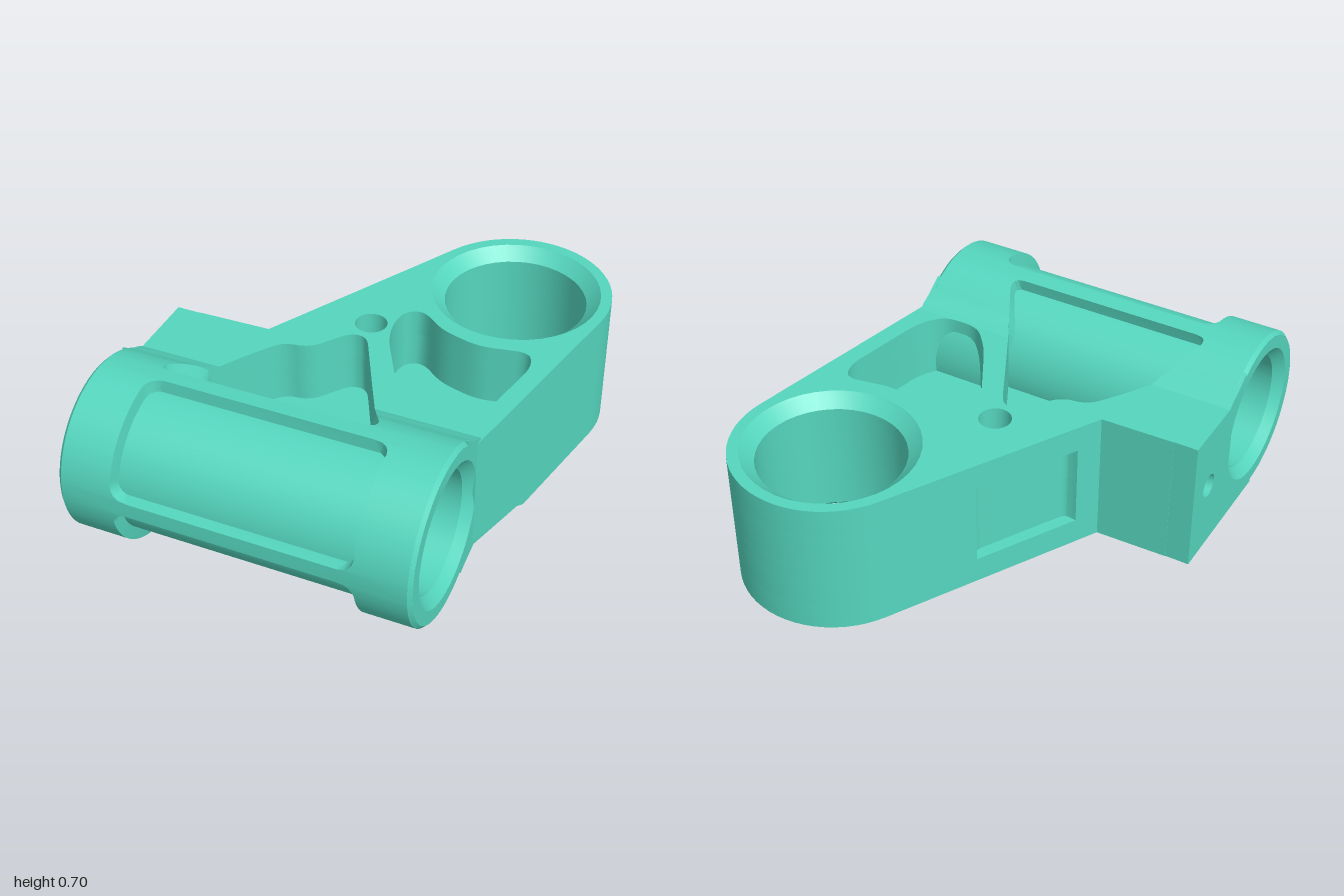
import * as THREE from 'three';
import { toCreasedNormals } from 'three/addons/utils/BufferGeometryUtils.js';

const V = (x, y) => new THREE.Vector2(x, y);
const material = new THREE.MeshStandardMaterial({ color: 0x55d6be, side: THREE.DoubleSide });
const RING = { x: 0.405, z: -0.61, r: 0.39 };
const TUBE = { y: 0.35, z: 0.65, r: 0.35, floor: 0.3, x0: -0.8, x1: 0.61 };
const END = 0.38; // the arm ends here, inside the tube wall
const TOP = 0.57;

// slanted edges of the triangular pocket
const pocketLeft = z => -0.34 - 0.59 * (z - 0.13);
const pocketRight = z => -0.01 + 0.52 * (z + 0.04);
// underside of the arm rises towards the tube, except at the end block
const underside = (x, z) => 0.075 * THREE.MathUtils.smoothstep(x, -0.35, 0) *
  Math.sin(Math.PI / 2 * THREE.MathUtils.clamp(z / 0.22, 0, 1));

function mesh(name, geometry, crease = 0.6) {
  const m = new THREE.Mesh(toCreasedNormals(geometry, crease), material);
  m.name = name;
  return m;
}

// points of a polygon with rounded corners
function rounded(points, radius, closed = true) {
  const out = [];
  points.forEach((p, i) => {
    if (!closed && (i === 0 || i === points.length - 1)) return out.push(p);
    const n = points.length, a = points[(i + n - 1) % n], b = points[(i + 1) % n];
    const cut = q => p.clone().lerp(q, Math.min(0.45, radius / p.distanceTo(q)));
    const curve = new THREE.QuadraticBezierCurve(cut(a), p, cut(b));
    out.push(...curve.getPoints(5));
  });
  return out;
}

const circle = (x, z, r, n = 40) => Array.from({ length: n }, (_, i) =>
  V(x + r * Math.cos(i / n * 2 * Math.PI), z + r * Math.sin(i / n * 2 * Math.PI)));

// angle of the point where a line from p touches the ring
function tangentAngle(p, side) {
  const dx = p.x - RING.x, dz = p.y - RING.z;
  return Math.atan2(dz, dx) + side * Math.acos(RING.r / Math.hypot(dx, dz));
}

// outline of the arm in x and z
function armOutline(pocket, recess) {
  const left = V(-0.4, 0.04), right = V(TUBE.x1, END);
  const a0 = tangentAngle(left, 1);
  let a1 = tangentAngle(right, -1);
  while (a1 < a0) a1 += 2 * Math.PI;
  const onRing = a => V(RING.x + RING.r * Math.cos(a), RING.z + RING.r * Math.sin(a));
  const points = [V(-0.7, END), V(-0.7, 0.048), left];
  if (recess) {
    const dir = onRing(a0).sub(left), inward = V(-dir.y, dir.x).normalize().multiplyScalar(0.05);
    const at = (t, d) => left.clone().addScaledVector(dir, t).addScaledVector(inward, d);
    points.push(...rounded([at(0.11, 0), at(0.13, 1), at(0.56, 1), at(0.58, 0)], 0.03, false));
  }
  for (let i = 0; i <= 28; i++) points.push(onRing(a0 + (a1 - a0) * i / 28));
  const touch = onRing(a1);
  for (const z of [0, 0.05, 0.1, 0.16, 0.22]) {
    points.push(touch.clone().lerp(right, (z - touch.y) / (END - touch.y)));
  }
  points.push(right);
  if (pocket) {
    points.push(...rounded([V(pocketRight(END), END), V(pocketRight(0.2), 0.2), V(-0.02, -0.065), V(-0.09, -0.065),
      V(-0.2, 0.085), V(-0.31, 0.1), V(pocketLeft(0.24), 0.24), V(pocketLeft(END), END)], 0.05, false));
  }
  return points;
}

// pocket between the bolt hole, the ring and the right wall
const sidePocket = rounded([V(0.035, -0.2), V(0.05, -0.29), V(0.12, -0.32), V(0.23, -0.23), V(0.4, -0.185),
  V(0.6, -0.225), V(0.635, -0.14), V(0.56, 0.24), V(0.49, 0.34), V(0.33, 0.34), V(0.23, 0.22), V(0.06, -0.09)], 0.06);

const flip = points => points.map(p => V(p.x, -p.y));

// one horizontal slice of the arm
function armLayer(name, y0, y1, pocket, recess) {
  const shape = new THREE.Shape(flip(armOutline(pocket, recess)));
  const holes = [circle(RING.x, RING.z, 0.36), circle(-0.045, -0.16, 0.065, 24)];
  if (pocket) holes.push(sidePocket);
  holes.forEach(h => shape.holes.push(new THREE.Path(flip(h))));
  const g = new THREE.ExtrudeGeometry(shape, { depth: y1 - y0, bevelEnabled: false });
  g.rotateX(-Math.PI / 2).translate(0, y0, 0);
  const p = g.attributes.position;
  for (let i = 0; i < p.count; i++) if (p.getY(i) < 0.001) p.setY(i, underside(p.getX(i), p.getZ(i)));
  return mesh(name, g);
}

// a z-y profile drawn out along x; each end may follow a rule of z
function alongX(name, profile, from, to, hole) {
  const shape = new THREE.Shape(profile.map(([z, y]) => V(-z, y)));
  if (hole) shape.holes.push(new THREE.Path(circle(-hole[0], hole[1], hole[2], 20)));
  const g = new THREE.ExtrudeGeometry(shape, { depth: 1, bevelEnabled: false });
  g.rotateY(Math.PI / 2);
  const p = g.attributes.position;
  for (let i = 0; i < p.count; i++) p.setX(i, (p.getX(i) < 0.5 ? from : to)(p.getZ(i)));
  return mesh(name, g);
}

// outside of the tube: a grid whose radius drops in the panels between the ribs
function tubeOuter() {
  const rows = [], corner = 0.06;
  const panels = [[0.09, 1.57], [1.78, 2 * Math.PI - 1.78], [2 * Math.PI - 1.57, 2 * Math.PI - 0.09]];
  panels.forEach(([a, b], k) => {
    const angles = [a];
    for (const d of [0.015, 0.05, 0.1, 0.16]) angles.push(a + d);
    for (let i = 1; i < 24; i++) angles.push(a + 0.16 + (b - a - 0.32) * i / 24);
    for (const d of [0.16, 0.1, 0.05, 0.015]) angles.push(b - d);
    angles.push(b);
    angles.forEach((phi, i) => {
      const z = Math.max(END, TUBE.z + TUBE.r * Math.cos(phi));
      const e = Math.max(0, corner - TUBE.r * Math.min(phi - a, b - phi));
      const inset = corner - Math.sqrt(corner * corner - e * e);
      const l = (k === 1 ? pocketLeft(z) : -0.58) + inset;
      const r = (k === 1 ? pocketRight(z) : 0.39) - inset;
      const f = i === 0 || i === angles.length - 1 ? TUBE.r : TUBE.floor;
      const row = [[TUBE.x0, 0.335], [TUBE.x0 + 0.015, TUBE.r], [l, TUBE.r], [l + 0.008, f],
        [r - 0.008, f], [r, TUBE.r], [TUBE.x1 - 0.015, TUBE.r], [TUBE.x1, 0.335]];
      rows.push(row.map(([x, q]) => [x, TUBE.y + q * Math.sin(phi), TUBE.z + q * Math.cos(phi)]));
    });
  });
  const n = rows[0].length, index = [];
  for (let i = 0; i < rows.length; i++) for (let j = 0; j < n - 1; j++) {
    const a = i * n + j, b = ((i + 1) % rows.length) * n + j;
    index.push(a, a + 1, b, a + 1, b + 1, b);
  }
  const g = new THREE.BufferGeometry();
  g.setAttribute('position', new THREE.Float32BufferAttribute(rows.flat(2), 3));
  g.setIndex(index);
  // make the faces point away from the axis
  g.computeVertexNormals();
  if (g.attributes.normal.getZ(1) < 0) g.setIndex(index.reverse());
  return mesh('tubeOuter', g, 0.5);
}

export function createModel() {
  const group = new THREE.Group();
  group.name = 'bracket';

  // arm in slices: pockets above and below a web, shallow recess in the left wall
  group.add(
    armLayer('armBottom', 0, 0.11, true, false),
    armLayer('armLowerWall', 0.11, 0.25, true, true),
    armLayer('armWeb', 0.25, 0.31, false, true),
    armLayer('armUpperWall', 0.31, 0.46, true, true),
    armLayer('armTop', 0.46, TOP, true, false));

  // lining of the upright ring with chamfered mouths
  const ring = mesh('uprightRing', new THREE.LatheGeometry([
    V(0.29, 0.05), V(0.335, 0.01), V(0.345, 0), V(0.37, 0), V(0.37, TOP),
    V(0.345, TOP), V(0.335, TOP - 0.01), V(0.29, TOP - 0.05), V(0.29, 0.05)], 40));
  ring.position.set(RING.x, 0, RING.z);
  group.add(ring);

  // cross tube: ribbed outside, plain bore
  group.add(tubeOuter());
  const bore = new THREE.LatheGeometry([V(0.335, TUBE.x0), V(0.28, TUBE.x0), V(0.24, TUBE.x0 + 0.04),
    V(0.24, TUBE.x1 - 0.04), V(0.28, TUBE.x1), V(0.335, TUBE.x1)], 48);
  bore.rotateZ(-Math.PI / 2).translate(0, TUBE.y, TUBE.z);
  group.add(mesh('tubeBore', bore));

  // end block with a small cross hole
  const at = x => () => x;
  group.add(alongX('endBlock', [[0.05, 0], [END, 0], [END, TOP], [0.05, TOP]],
    at(TUBE.x0), at(-0.7), [0.19, 0.3, 0.05]));

  // fillets between arm and tube, on both sides of the triangular pocket
  const upper = [[0.34, TOP], [0.36, 0.584], [0.4, 0.603], [0.44, 0.628], [0.48, 0.656],
    [0.48, 0.62], [0.44, 0.58], [END, 0.54], [0.34, 0.56]];
  const lowerRight = [[0.34, 0.075], [0.4, 0.06], [0.45, 0.048], [0.5, 0.033],
    [0.5, 0.08], [0.46, 0.1], [0.42, 0.14], [END, 0.18], [0.34, 0.1]];
  const lowerLeft = [[0.34, 0], [0.65, 0], [0.65, 0.03], [0.5, 0.08], [0.46, 0.1], [0.42, 0.14], [END, 0.18], [0.34, 0.1]];
  group.add(
    alongX('upperFilletLeft', upper, at(TUBE.x0), pocketLeft),
    alongX('upperFilletRight', upper, pocketRight, at(TUBE.x1)),
    alongX('lowerFilletRight', lowerRight, pocketRight, at(TUBE.x1)),
    alongX('lowerFilletLeft', lowerLeft, at(TUBE.x0), z => pocketLeft(Math.min(z, 0.56))));
  return group;
}
